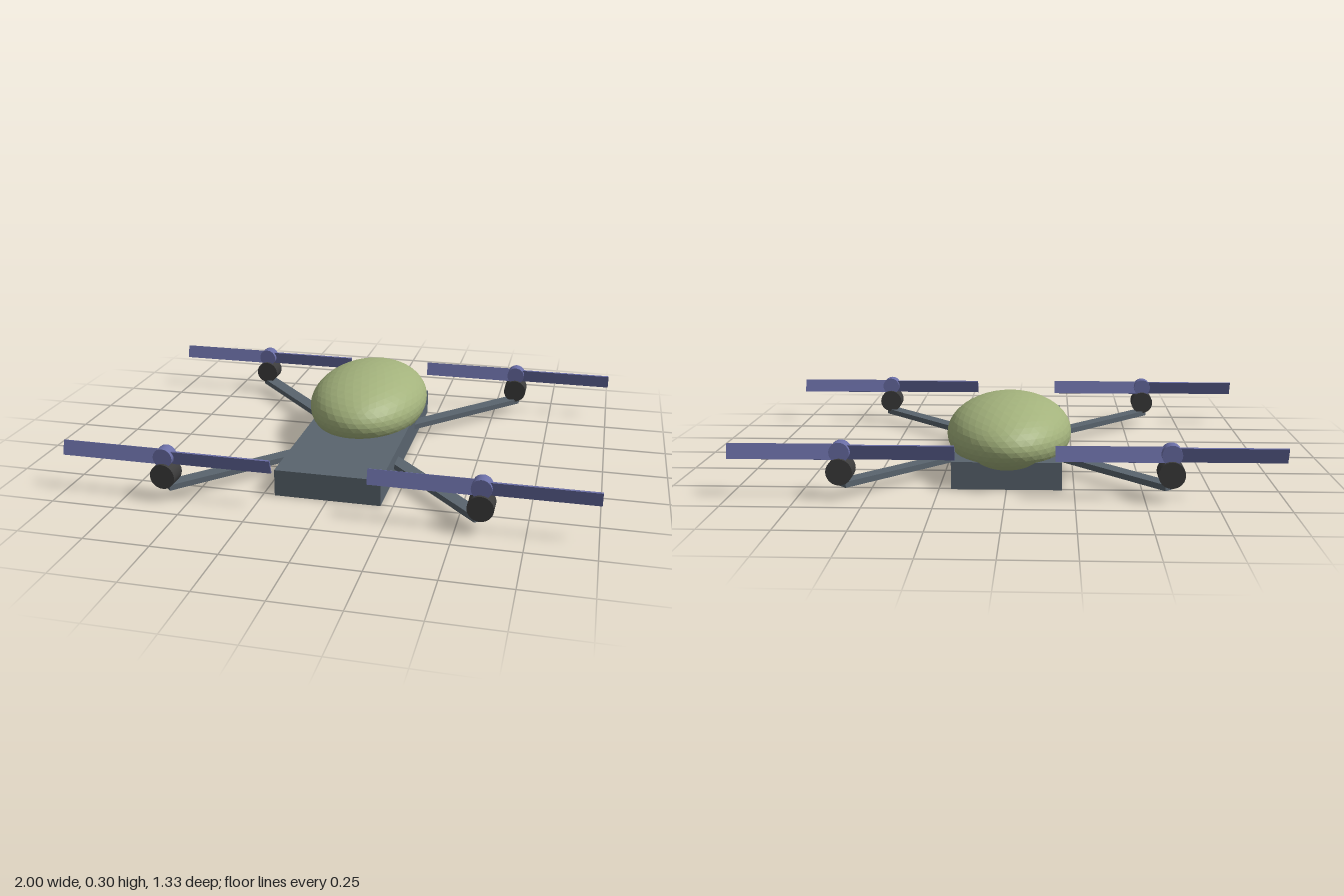
import * as THREE from 'three';

const paint = (color, flatShading = false) => new THREE.MeshStandardMaterial({ color, flatShading });

export function createModel() {
  const model = new THREE.Group();
  model.name = 'quadcopter';

  const frameMat = paint(0x59646e);
  const canopyMat = paint(0xa3b27c, true);
  const motorMat = paint(0x3c3c3c);
  const rotorMat = paint(0x6a6ea6);

  const add = (parent, name, geometry, material, x, y, z) => {
    const mesh = new THREE.Mesh(geometry, material);
    mesh.name = name;
    mesh.position.set(x, y, z);
    parent.add(mesh);
    return mesh;
  };

  // Slab body
  add(model, 'body', new THREE.BoxGeometry(0.41, 0.104, 1.02), frameMat, 0, 0.052, 0);

  // Faceted egg-shaped canopy, set toward the back, with a vertex at its top
  const canopyGeo = new THREE.IcosahedronGeometry(1, 7);
  canopyGeo.rotateZ(-Math.atan(2 / (1 + Math.sqrt(5))));
  canopyGeo.scale(0.243, 0.147, 0.367);
  add(model, 'canopy', canopyGeo, canopyMat, 0, 0.155, -0.206);

  // Shared rotor geometry; motors and hubs lie along z
  const motorX = 0.59, motorZ = 0.627;
  const armLength = Math.hypot(motorX, motorZ);
  const armGeo = new THREE.BoxGeometry(0.056, 0.022, armLength);
  const motorGeo = new THREE.CylinderGeometry(0.048, 0.048, 0.075, 24).rotateX(Math.PI / 2);
  const hubGeo = new THREE.CylinderGeometry(0.037, 0.037, 0.051, 24).rotateX(Math.PI / 2);
  const bladeGeo = new THREE.BoxGeometry(0.41, 0.0575, 0.007);

  for (const sx of [-1, 1]) {
    for (const sz of [-1, 1]) {
      const x = sx * motorX, z = sz * motorZ;

      // Diagonal arm from the middle of the body to the motor
      const arm = add(model, 'arm', armGeo, frameMat, x / 2, 0.052, z / 2);
      arm.rotation.y = Math.atan2(x, z);

      add(model, 'motor', motorGeo, motorMat, x, 0.103, z);

      // Rotor: hub with two blades pitched opposite ways
      const rotor = new THREE.Group();
      rotor.name = 'rotor';
      rotor.position.set(x, 0.169, z);
      model.add(rotor);
      add(rotor, 'hub', hubGeo, rotorMat, 0, 0.003, 0);
      for (const side of [-1, 1]) {
        const blade = add(rotor, 'blade', bladeGeo, rotorMat, side * 0.205, 0, 0);
        blade.rotation.x = side * 0.3;
      }
    }
  }
  return model;
}
